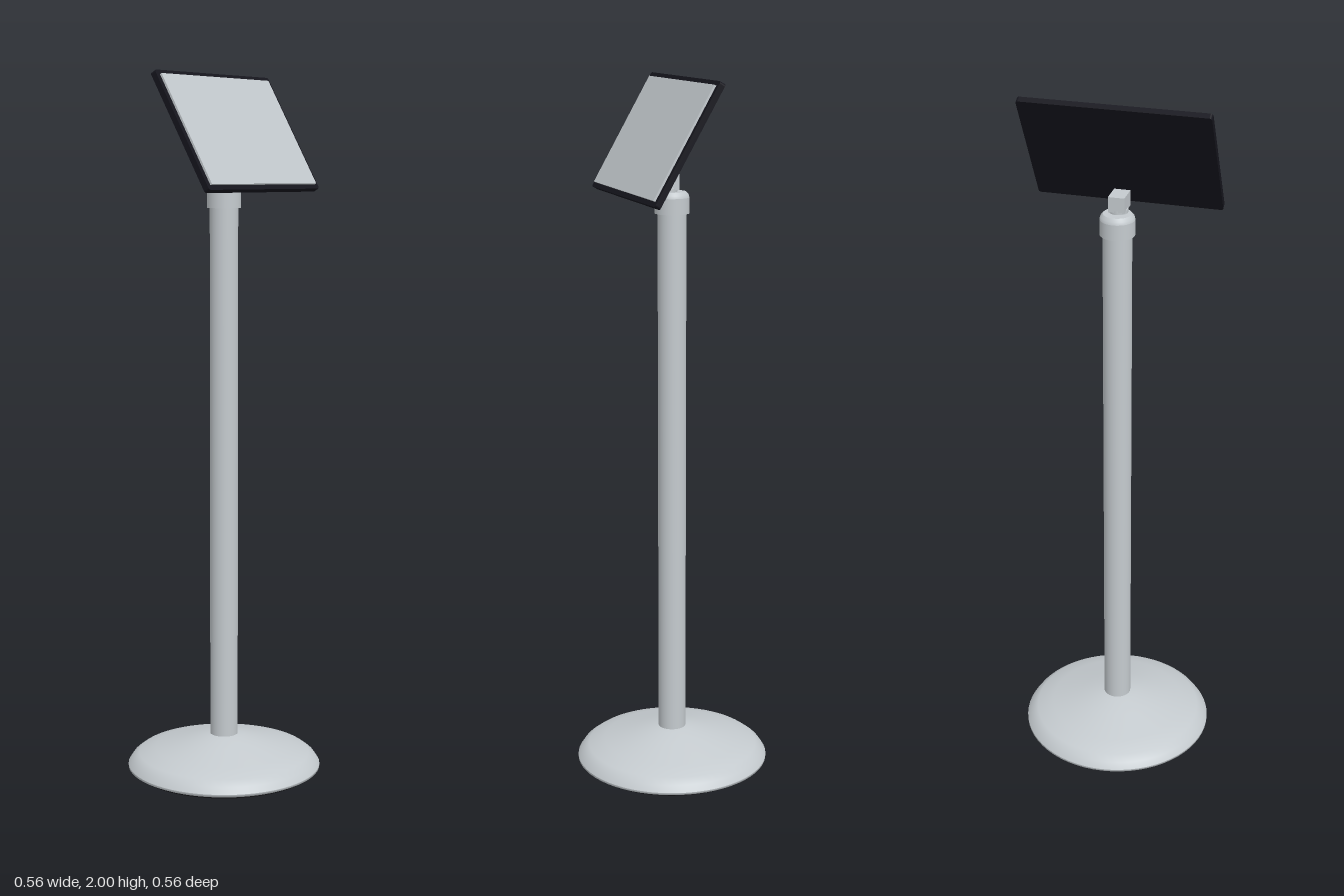
import * as THREE from 'three';

const metal = new THREE.MeshStandardMaterial({ color: 0xc4cace });
metal.name = 'silverMetal';
const black = new THREE.MeshStandardMaterial({ color: 0x15151d });
black.name = 'blackPlastic';
const rubber = new THREE.MeshStandardMaterial({ color: 0x111114 });
rubber.name = 'blackRubber';

function add(parent, name, geometry, material, x = 0, y = 0, z = 0) {
  const mesh = new THREE.Mesh(geometry, material);
  mesh.name = name;
  mesh.position.set(x, y, z);
  parent.add(mesh);
  return mesh;
}

// Turned part; each profile is a separate smooth band, so edges between bands stay sharp
function turned(parent, name, bands) {
  const group = new THREE.Group();
  group.name = name;
  for (const band of bands) {
    const points = band.map(([r, y]) => new THREE.Vector2(r, y));
    add(group, name + 'Surface', new THREE.LatheGeometry(points, 64), metal);
  }
  parent.add(group);
}

// Plate with rounded corners, facing +z and starting at z = 0
function roundedPlate(w, h, r, depth) {
  const s = new THREE.Shape();
  const x = w / 2, y = h / 2;
  s.moveTo(-x + r, -y);
  s.lineTo(x - r, -y);
  s.absarc(x - r, -y + r, r, -Math.PI / 2, 0);
  s.absarc(x - r, y - r, r, 0, Math.PI / 2);
  s.absarc(-x + r, y - r, r, Math.PI / 2, Math.PI);
  s.absarc(-x + r, -y + r, r, Math.PI, Math.PI * 1.5);
  return new THREE.ExtrudeGeometry(s, { depth, bevelEnabled: false, curveSegments: 6 });
}

export function createModel() {
  const model = new THREE.Group();
  model.name = 'displayStand';

  // Weighted foot with a rubber pad underneath
  add(model, 'footPad', new THREE.CylinderGeometry(0.262, 0.262, 0.01, 64), rubber, 0, 0.005, 0);
  turned(model, 'foot', [
    [[0, 0.006], [0.27, 0.006]],
    [[0.27, 0.006], [0.28, 0.011], [0.28, 0.017]],
    [[0.28, 0.017], [0.268, 0.035], [0.248, 0.05], [0.2, 0.065], [0.11, 0.089], [0.06, 0.102], [0.03, 0.106]],
  ]);

  // Pole and collar
  add(model, 'pole', new THREE.CylinderGeometry(0.04, 0.04, 1.55, 48), metal, 0, 0.865, 0);
  turned(model, 'collar', [
    [[0.038, 1.63], [0.048, 1.63]],
    [[0.048, 1.63], [0.048, 1.674]],
    [[0.048, 1.674], [0.046, 1.682], [0.039, 1.69]],
    [[0.039, 1.69], [0, 1.69]],
  ]);

  // Pivot that carries the screen
  add(model, 'pivotNeck', new THREE.CylinderGeometry(0.026, 0.026, 0.016, 32), metal, 0.012, 1.692, 0);
  add(model, 'pivotBlock', new THREE.BoxGeometry(0.063, 0.043, 0.045), metal, 0.018, 1.717, 0);

  // Screen leaning back, facing +x
  const screen = new THREE.Group();
  screen.name = 'screen';
  const thick = 0.017, border = 0.014, w = 0.52, h = 0.366;
  add(screen, 'screenCase', roundedPlate(w, h, 0.007, thick), black, 0, 0, -thick / 2);
  add(screen, 'screenPanel',
    new THREE.BoxGeometry(w - 2 * border, h - 2 * border, 0.006), metal, 0, 0, thick / 2 + 0.003);
  screen.rotation.set(0, Math.PI / 2, Math.PI / 6, 'ZYX');
  screen.position.set(0.048, 1.837, 0);
  model.add(screen);

  return model;
}
